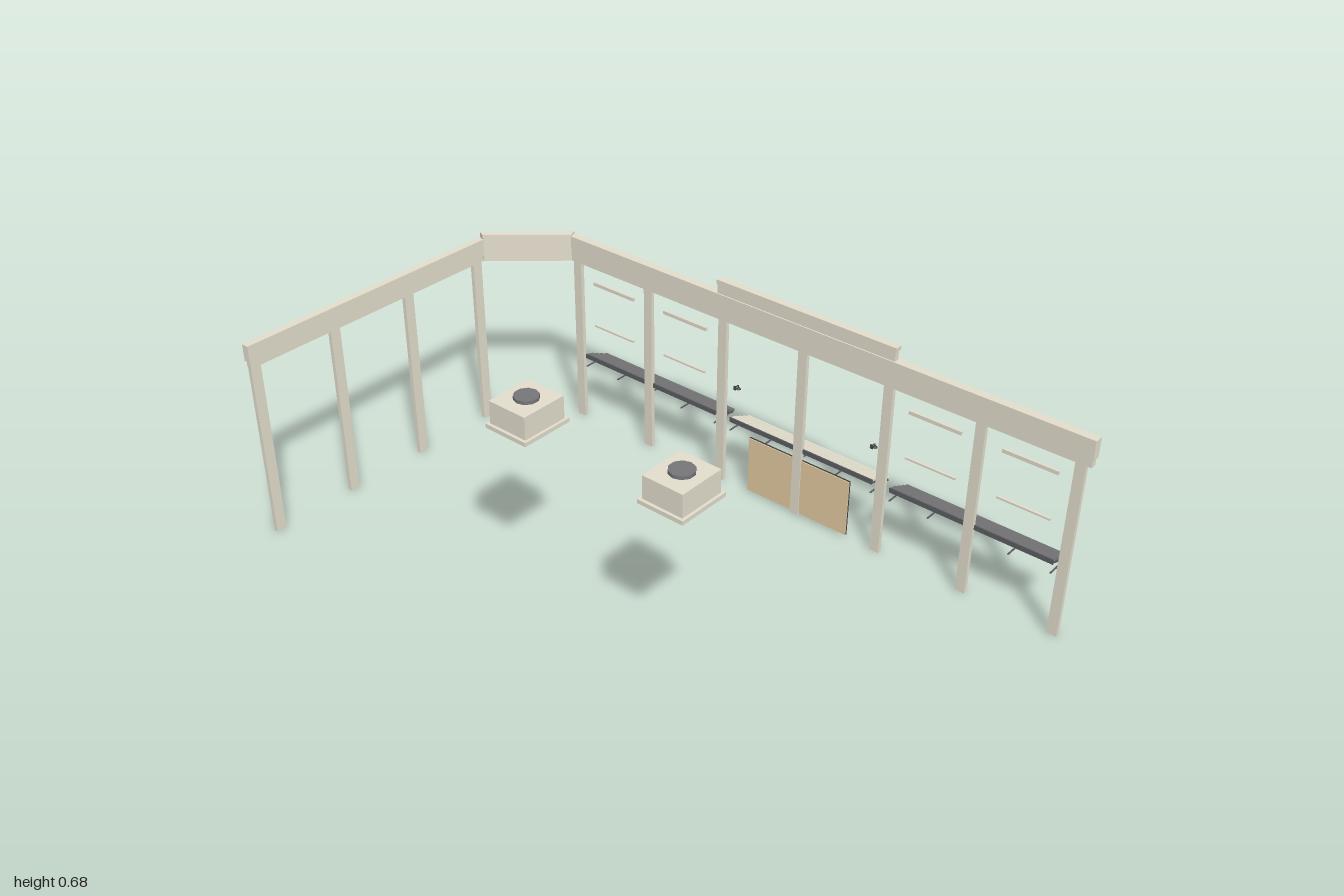
import * as THREE from 'three';

const mat = (name, color) => {
  const m = new THREE.MeshStandardMaterial({ color });
  m.name = name;
  return m;
};

export function createModel() {
  const model = new THREE.Group();
  model.name = 'storefrontFrame';
  const stone = mat('stone', 0xe4decd);
  const cream = mat('cream', 0xefead8);
  const grey = mat('slateGrey', 0x77777a);
  const under = mat('undersideGrey', 0x5c5d61);
  const dark = mat('charcoal', 0x404144);
  const tan = mat('tan', 0xe5cca3);
  const glass = mat('glass', 0x6a8696);

  // Box given by its minimum and maximum corners
  const box = (name, m, x0, x1, y0, y1, z0, z1, parent = model) => {
    const mesh = new THREE.Mesh(new THREE.BoxGeometry(x1 - x0, y1 - y0, z1 - z0), m);
    mesh.position.set((x0 + x1) / 2, (y0 + y1) / 2, (z0 + z1) / 2);
    mesh.name = name;
    parent.add(mesh);
    return mesh;
  };

  // Vertical prism over a plan outline of [x, z] points
  const prism = (name, m, pts, y0, y1) => {
    const shape = new THREE.Shape(pts.map(([x, z]) => new THREE.Vector2(x, -z)));
    const geo = new THREE.ExtrudeGeometry(shape, { depth: y1 - y0, bevelEnabled: false });
    geo.rotateX(-Math.PI / 2);
    const mesh = new THREE.Mesh(geo, m);
    mesh.position.y = y0;
    mesh.name = name;
    model.add(mesh);
  };

  // Columns of the long wall and the side wing
  for (let i = 0; i < 7; i++) {
    const x = -0.757 + i * 0.2873;
    box('wallColumn', stone, x - 0.015, x + 0.015, 0, 0.56, -0.496, -0.483);
  }
  for (let i = 0; i < 4; i++) {
    const z = 0.562 - i * 0.2793;
    box('wingColumn', stone, -0.996, -0.983, 0, 0.56, z - 0.0165, z + 0.0165);
  }

  // Fascia: a thin core with a wider band above it
  box('wallFascia', stone, -0.78, 0.997, 0.55, 0.6, -0.5, -0.48);
  box('wallFasciaBand', stone, -0.782, 1, 0.572, 0.632, -0.504, -0.477);
  box('wingFascia', stone, -0.997, -0.98, 0.55, 0.6, -0.3, 0.579);
  box('wingFasciaBand', stone, -1, -0.977, 0.57, 0.622, -0.303, 0.583);
  prism('cornerFascia', stone,
    [[-1, -0.31], [-0.978, -0.3], [-0.774, -0.478], [-0.785, -0.504]], 0.55, 0.637);

  // Raised parapet with cap
  box('parapet', stone, -0.202, 0.405, 0.62, 0.664, -0.498, -0.481);
  box('parapetCap', stone, -0.204, 0.409, 0.662, 0.675, -0.501, -0.478);

  // Horizontal bars in the open bays
  for (const x of [-0.614, -0.33, 0.541, 0.828]) {
    box('upperBar', stone, x - 0.082, x + 0.082, 0.487, 0.498, -0.496, -0.488);
    box('lowerBar', stone, x - 0.08, x + 0.08, 0.344, 0.35, -0.496, -0.488);
  }

  // Shop window: boarded inside, glazed outside
  const win = new THREE.Group();
  win.name = 'shopWindow';
  model.add(win);
  box('windowBoard', tan, -0.073, 0.289, 0.006, 0.19, -0.489, -0.486, win);
  box('windowGlass', glass, -0.07, 0.286, 0.008, 0.188, -0.492, -0.489, win);
  for (const y of [0.005, 0.184]) box('windowRail', dark, -0.073, 0.289, y, y + 0.007, -0.494, -0.489, win);
  for (const x of [-0.073, 0.282]) box('windowStile', dark, x, x + 0.007, 0.005, 0.191, -0.494, -0.489, win);
  for (const x of [0.016, 0.195]) box('windowMullion', dark, x, x + 0.004, 0.008, 0.188, -0.494, -0.49, win);

  // Sloping awnings of overlapping shingles
  const awning = (name, x0, x1, top) => {
    const g = new THREE.Group();
    g.name = name;
    model.add(g);
    const cols = 8, rows = 4, w = (x1 - x0) / cols;
    const geo = new THREE.BoxGeometry(w - 0.001, 0.004, 0.029);
    const faces = [top, top, top, under, under, top];
    for (let r = 0; r < rows; r++) {
      for (let c = 0; c < cols; c++) {
        const s = new THREE.Mesh(geo, faces);
        s.position.set(x0 + (c + 0.5) * w, 0.2225 - r * 0.0095, -0.506 - r * 0.0215);
        s.rotation.x = -0.24;
        s.name = 'shingle';
        g.add(s);
      }
    }
    // Support frame below
    box('wallRail', under, x0, x1, 0.214, 0.229, -0.494, -0.49, g);
    box('edgeRail', top, x0, x1, 0.184, 0.193, -0.585, -0.58, g);
    for (let i = 0; i <= 4; i++) {
      const x = x0 + 0.003 + (x1 - x0 - 0.006) * i / 4;
      box('tie', under, x - 0.002, x + 0.002, 0.184, 0.187, -0.583, -0.49, g);
      const rafter = box('rafter', under, x - 0.002, x + 0.002, 0.1985, 0.2025, -0.583, -0.489, g);
      rafter.rotation.x = -0.395;
    }
  };
  awning('rightAwning', -0.738, -0.208, grey);
  awning('middleAwning', -0.152, 0.362, cream);
  awning('leftAwning', 0.42, 0.935, grey);

  // Gooseneck wall lamps
  for (const x of [-0.14, 0.347]) {
    const lamp = new THREE.Group();
    lamp.name = 'wallLamp';
    lamp.position.set(x, 0, 0);
    model.add(lamp);
    const path = new THREE.CatmullRomCurve3([
      new THREE.Vector3(0, 0.332, -0.488), new THREE.Vector3(0, 0.335, -0.505),
      new THREE.Vector3(0, 0.333, -0.513), new THREE.Vector3(0, 0.325, -0.514)]);
    const arm = new THREE.Mesh(new THREE.TubeGeometry(path, 8, 0.0018, 6), dark);
    arm.name = 'lampArm';
    const shade = new THREE.Mesh(new THREE.CylinderGeometry(0.003, 0.008, 0.006, 10), dark);
    shade.position.set(0, 0.324, -0.514);
    shade.name = 'lampShade';
    lamp.add(arm, shade);
    box('lampPlate', dark, -0.004, 0.004, 0.326, 0.338, -0.498, -0.494, lamp);
  }

  // Rooftop ventilation units
  for (const x of [-0.181, 0.335]) {
    const unit = new THREE.Group();
    unit.name = 'roofVent';
    model.add(unit);
    box('ventBase', stone, x - 0.071, x + 0.071, 0.571, 0.583, 0.231, 0.392, unit);
    box('ventBody', stone, x - 0.063, x + 0.063, 0.583, 0.65, 0.241, 0.383, unit);
    const fan = new THREE.Mesh(new THREE.CylinderGeometry(0.035, 0.035, 0.01, 10), grey);
    fan.position.set(x, 0.655, 0.311);
    fan.name = 'ventFan';
    unit.add(fan);
  }
  return model;
}
